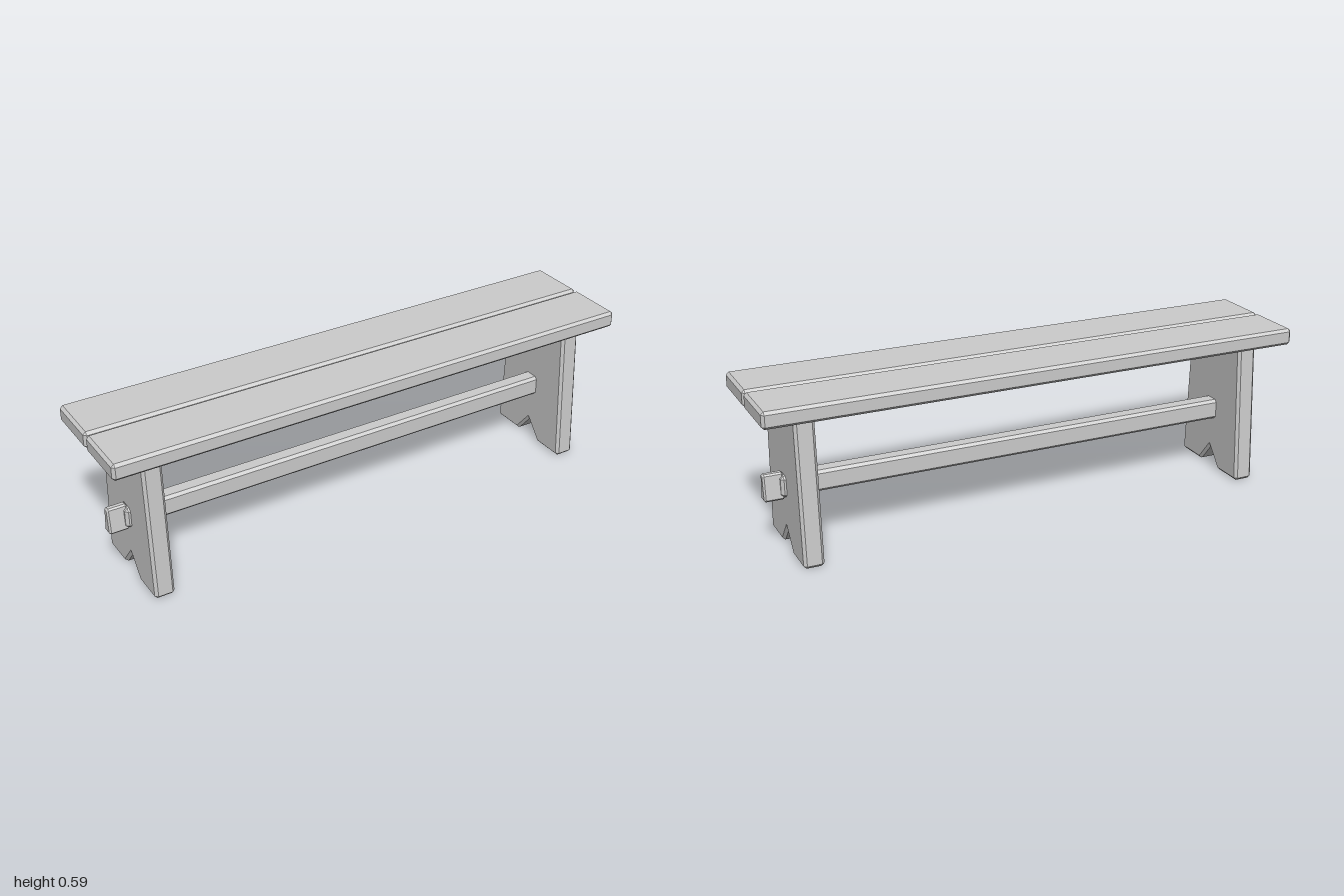
import * as THREE from 'three';

// Prism along x from a counter-clockwise (-z, y) outline.
// The outline is the end face; sides are pushed out by c, leaving chamfers on all convex edges.
function chamferedPrism(points, length, c) {
  const P = points.map(([u, v]) => new THREE.Vector2(u, v));
  const n = P.length;
  const inner = [], outer = [];
  P.forEach((p, i) => {
    const d1 = p.clone().sub(P[(i + n - 1) % n]).normalize();
    const d2 = P[(i + 1) % n].clone().sub(p).normalize();
    const n1 = new THREE.Vector2(d1.y, -d1.x), n2 = new THREE.Vector2(d2.y, -d2.x);
    if (d1.cross(d2) > 0) {
      inner.push(p, p);
      outer.push(p.clone().addScaledVector(n1, c), p.clone().addScaledVector(n2, c));
    } else {
      // Inward corner: mitre the two sides together
      const m = n1.clone().add(n2);
      inner.push(p);
      outer.push(p.clone().addScaledVector(m, c / (1 + n1.dot(n2))));
    }
  });

  const pos = [];
  const at = (p, x) => new THREE.Vector3(x, p.y, -p.x);
  const tri = (a, b, d) => {
    if (new THREE.Triangle(a, b, d).getArea() > 1e-9) [a, b, d].forEach(q => pos.push(q.x, q.y, q.z));
  };
  const h = length / 2;
  const rings = [[inner, -h], [outer, -h + c], [outer, h - c], [inner, h]];
  for (let r = 0; r < 3; r++) {
    const [A, xa] = rings[r], [B, xb] = rings[r + 1];
    for (let i = 0; i < A.length; i++) {
      const j = (i + 1) % A.length;
      tri(at(A[i], xa), at(A[j], xa), at(B[j], xb));
      tri(at(A[i], xa), at(B[j], xb), at(B[i], xb));
    }
  }
  for (const [a, b, d] of THREE.ShapeUtils.triangulateShape(P, [])) {
    tri(at(P[a], h), at(P[b], h), at(P[d], h));
    tri(at(P[a], -h), at(P[d], -h), at(P[b], -h));
  }
  const geo = new THREE.BufferGeometry();
  geo.setAttribute('position', new THREE.Float32BufferAttribute(pos, 3));
  geo.computeVertexNormals();
  return geo;
}

// Box with chamfered edges, given its full outer size
function chamferedBox(length, y0, y1, halfWidth, c) {
  const w = halfWidth - c;
  return chamferedPrism([[-w, y0 + c], [w, y0 + c], [w, y1 - c], [-w, y1 - c]], length, c);
}

export function createModel() {
  const group = new THREE.Group();
  group.name = 'bench';
  const wood = new THREE.MeshStandardMaterial({ color: 0xcccccc });
  wood.name = 'plainWood';
  const add = (name, geo, x = 0, z = 0) => {
    const mesh = new THREE.Mesh(geo, wood);
    mesh.name = name;
    mesh.position.set(x, 0, z);
    group.add(mesh);
  };

  // Two seat planks with a narrow gap
  const plank = chamferedBox(2, 0.527, 0.588, 0.1075, 0.01);
  add('frontSeatPlank', plank, 0, 0.1115);
  add('backSeatPlank', plank, 0, -0.1115);

  // Stretcher running through both legs
  add('stretcher', chamferedBox(1.8, 0.2, 0.276, 0.032, 0.01));

  // Tapered legs with a V notch, and wedges locking the stretcher ends
  const leg = chamferedPrism([
    [-0.178, 0.01], [-0.066, 0.01], [0, 0.09], [0.066, 0.01], [0.178, 0.01],
    [0.154, 0.515], [-0.154, 0.515],
  ], 0.072, 0.01);
  const wedge = chamferedPrism([
    [-0.015, 0.196], [0.015, 0.196], [0.007, 0.281], [-0.007, 0.281],
  ], 0.072, 0.006);
  for (const [side, s] of [['left', 1], ['right', -1]]) {
    add(side + 'Leg', leg, s * 0.847);
    add(side + 'Wedge', wedge, s * 0.922);
  }
  return group;
}
